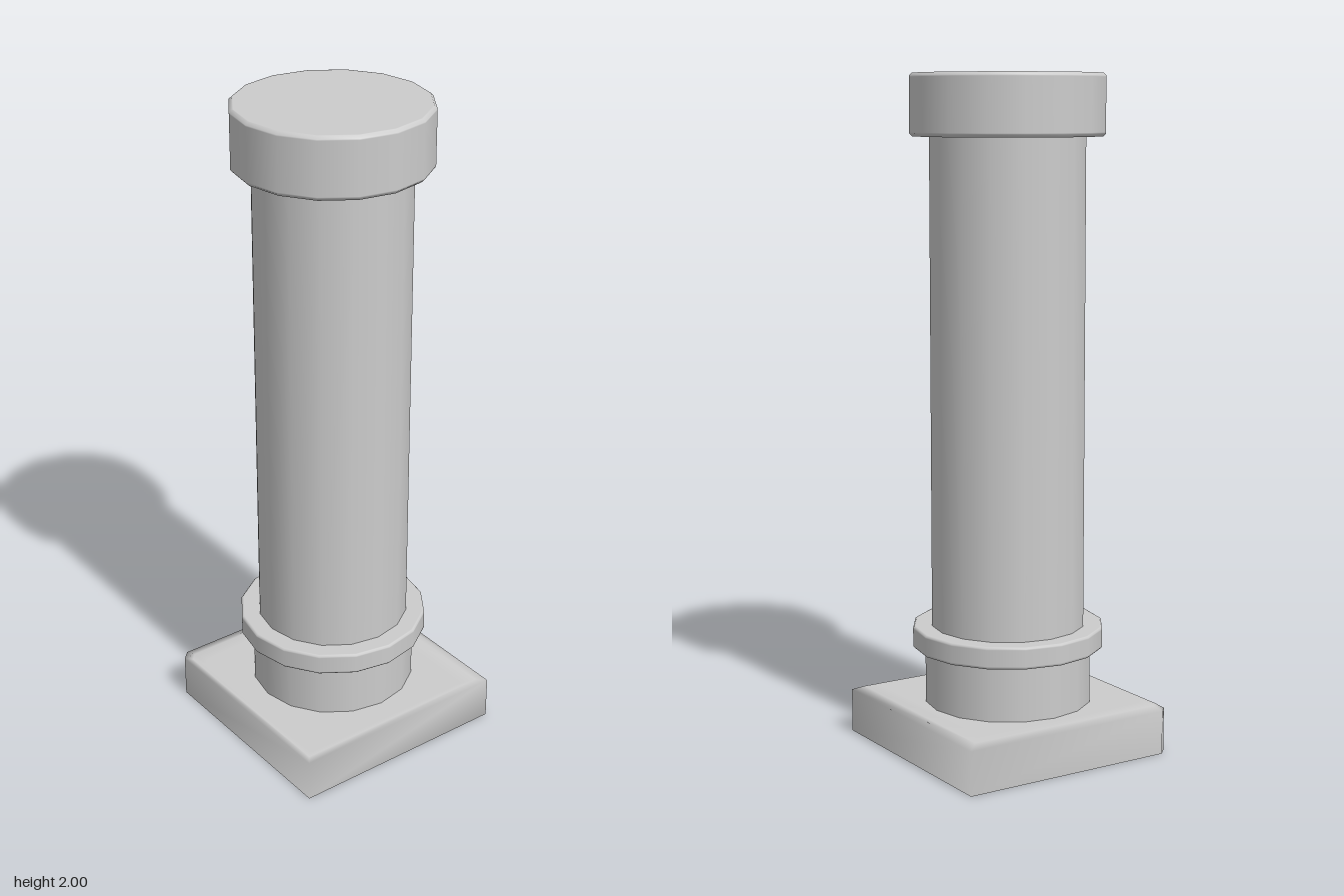
import * as THREE from 'three';

const SIDES = 16;

export function createModel() {
  const group = new THREE.Group();
  const stone = new THREE.MeshStandardMaterial({ color: 0xcccccc });
  stone.name = 'stone';
  const openStone = new THREE.MeshStandardMaterial({ color: 0xcccccc, side: THREE.DoubleSide });
  openStone.name = 'stone open surface';

  const add = (name, geometry, material = stone) => {
    const mesh = new THREE.Mesh(geometry, material);
    mesh.name = name;
    group.add(mesh);
  };

  // Round section between two heights, optionally with bevelled rims
  const round = (r, y0, y1, b) => {
    const k = 0.004; // support loops keep the flat ends and walls evenly shaded
    const profile = [
      [0, y0], [r - b - k, y0], [r - b, y0], [r, y0 + b], [r, y0 + b + k],
      [r, y1 - b - k], [r, y1 - b], [r - b, y1], [r - b - k, y1], [0, y1],
    ].map(([x, y]) => new THREE.Vector2(x, y));
    return new THREE.LatheGeometry(profile, SIDES);
  };
  const drum = (r, y0, y1, open = false) =>
    new THREE.CylinderGeometry(r, r, y1 - y0, SIDES, 1, open).translate(0, (y0 + y1) / 2, 0);

  add('base', makeBase(), openStone);
  add('pedestalDrum', drum(0.25, 0.13, 0.31));
  add('pedestalSkirt', drum(0.25, 0.1, 0.13, true), openStone); // hollow foot under the base top
  add('collar', round(0.287, 0.308, 0.373, 0.004));
  add('shaft', drum(0.23, 0.37, 1.825));
  add('capital', round(0.287, 1.82, 2, 0.008));
  return group;
}

// Hollow square plinth, open below, softened along its top edge, one clipped corner
function makeBase() {
  const h = 0.347;
  // Five-cornered outline; insets differ per side: left, right, back, front
  const ring = (y, l, r, b, f, c) => [
    [-h + l, y, h - f], [h - r, y, h - f], [h - r, y, -h + b],
    [-h + l + c, y, -h + b], [-h + l, y, -h + b + c],
  ];
  const rings = [
    ring(0, 0, 0, 0, 0, 0.025),
    ring(0.131, 0, 0, 0, 0, 0.025),
    ring(0.14, 0.012, 0.035, 0.035, 0.016, 0.02),
    ring(0.14, 0.03, 0.085, 0.085, 0.03, 0.02),
  ];
  const n = 5;
  const index = [];
  for (let k = 0; k < rings.length - 1; k++) {
    for (let i = 0; i < n; i++) {
      const a = k * n + i, b = k * n + (i + 1) % n;
      index.push(a, b, b + n, a, b + n, a + n);
    }
  }
  // Flat top
  const t = (rings.length - 1) * n;
  for (let i = 1; i < n - 1; i++) index.push(t, t + i, t + i + 1);

  const geometry = new THREE.BufferGeometry();
  geometry.setAttribute('position', new THREE.Float32BufferAttribute(rings.flat(2), 3));
  geometry.setIndex(index);
  geometry.computeVertexNormals();
  return geometry;
}
